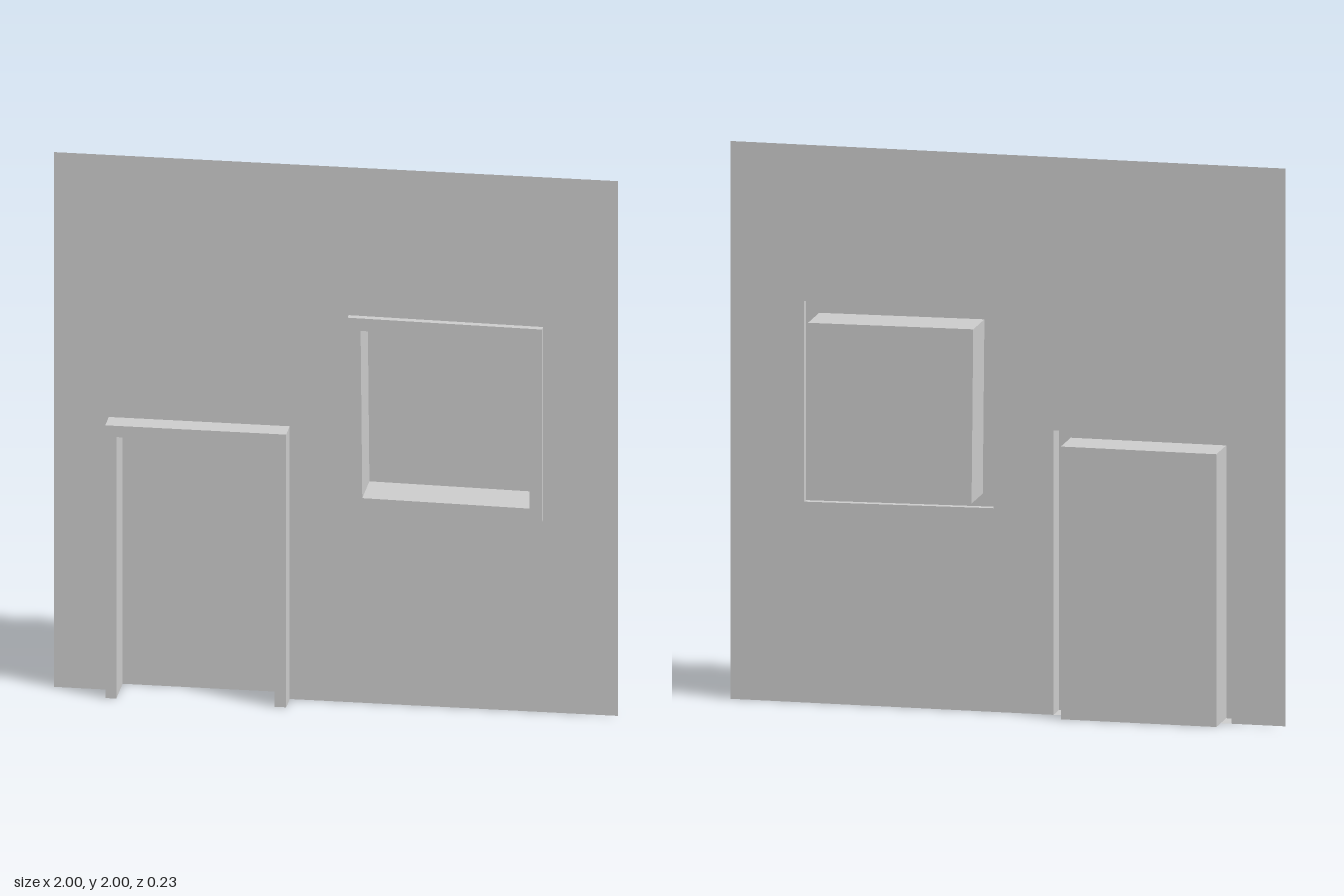
import * as THREE from 'three';

const material = new THREE.MeshStandardMaterial({ color: 0xcccccc, side: THREE.DoubleSide, flatShading: true });

// Depths: wall sheet, front of each trim, back of each recess
const WALL_Z = 0.03;
const window_ = {
  front: 0.056, back: -0.115,
  outer: [[0.734, 0.72], [0.734, 1.44], [0.045, 1.447], [0.053, 0.73]],
  inner: [[0.69, 0.768], [0.686, 1.394], [0.091, 1.4], [0.097, 0.775]],
};
const door = {
  front: 0.115, back: -0.036,
  outer: [[-0.164, 0], [-0.164, 1.02], [-0.805, 1.02], [-0.805, 0]],
  inner: [[-0.206, 0], [-0.206, 0.978], [-0.766, 0.978], [-0.766, 0]],
};

const toShape = (points) => new THREE.Shape(points.map(([x, y]) => new THREE.Vector2(x, y)));

function addMesh(group, name, geometry) {
  const mesh = new THREE.Mesh(geometry, material);
  mesh.name = name;
  group.add(mesh);
}

// Flat sheet facing +z at a given depth
function sheet(shape, z) {
  return new THREE.ShapeGeometry(shape).translate(0, 0, z);
}

// Strip of side walls along a path, running from depth z0 to z1
function band(points, z0, z1, closed) {
  const positions = [];
  const count = closed ? points.length : points.length - 1;
  for (let i = 0; i < count; i++) {
    const a = points[i], b = points[(i + 1) % points.length];
    positions.push(...a, z0, ...b, z0, ...b, z1, ...a, z0, ...b, z1, ...a, z1);
  }
  const geometry = new THREE.BufferGeometry();
  geometry.setAttribute('position', new THREE.Float32BufferAttribute(positions, 3));
  geometry.computeVertexNormals();
  return geometry;
}

// Raised trim around a recess with a flat back panel
function opening(name, { outer, inner, front, back }, faceShape, closed) {
  const group = new THREE.Group();
  group.name = name;
  const inward = [...inner].reverse();
  addMesh(group, name + 'TrimFace', sheet(faceShape, front));
  addMesh(group, name + 'TrimSides', band(outer, WALL_Z, front, closed));
  addMesh(group, name + 'Reveal', band(inward, back, front, closed));
  addMesh(group, name + 'Panel', sheet(toShape(inner), back));
  return group;
}

export function createModel() {
  const model = new THREE.Group();
  model.name = 'wallWithDoorAndWindow';

  // Wall sheet, notched for the door and pierced for the window
  const wall = toShape([[-1, 0], [-1, 2], [1, 2], [1, 0], ...door.outer]);
  wall.holes.push(toShape(window_.outer));
  addMesh(model, 'wall', sheet(wall, WALL_Z));

  // Window: closed ring trim
  const ring = toShape(window_.outer);
  ring.holes.push(toShape(window_.inner));
  model.add(opening('window', window_, ring, true));

  // Door: arch-shaped trim, open at the floor
  const arch = toShape([...door.outer, ...[...door.inner].reverse()]);
  const doorGroup = opening('door', door, arch, false);

  // Undersides of the two door posts
  for (const i of [0, 3]) {
    const ends = [door.outer[i], door.inner[i]].sort((a, b) => a[0] - b[0]);
    addMesh(doorGroup, 'doorPostFoot', band(ends, WALL_Z, door.front, false));
  }
  model.add(doorGroup);
  return model;
}
